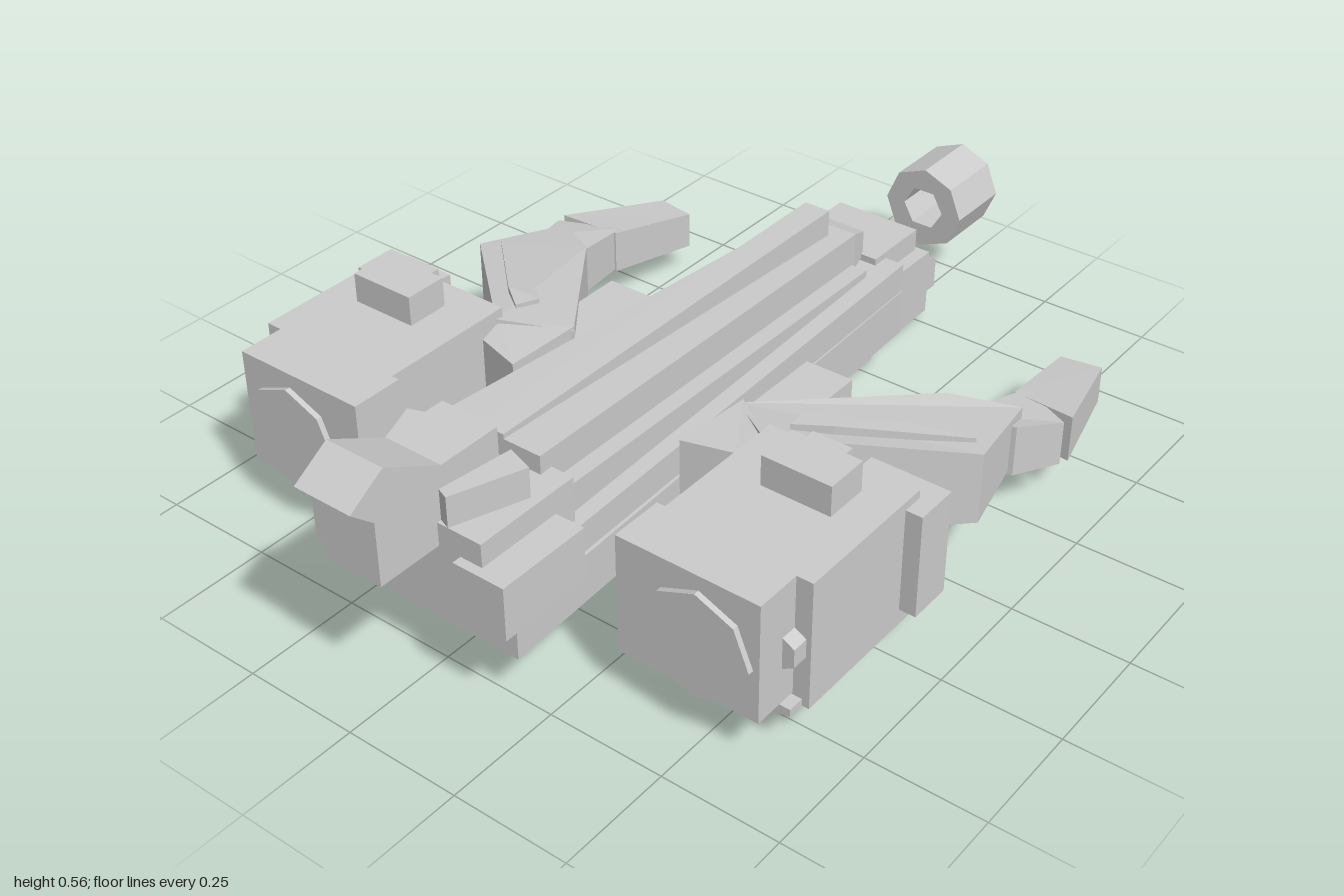
import * as THREE from 'three';

export function createModel() {
  const root = new THREE.Group();
  const mat = new THREE.MeshStandardMaterial({ color: 0xcccccc, flatShading: true });

  function add(name, geo, parent = root) {
    const mesh = new THREE.Mesh(geo, mat);
    mesh.name = name;
    parent.add(mesh);
    return mesh;
  }

  // Box given by its extents on each axis
  function box(name, x0, x1, y0, y1, z0, z1, parent) {
    const g = new THREE.BoxGeometry(Math.abs(x1 - x0), y1 - y0, z1 - z0);
    g.translate((x0 + x1) / 2, (y0 + y1) / 2, (z0 + z1) / 2);
    return add(name, g, parent);
  }

  // Upright convex prism; each corner is [x, z, bottom y, top y]
  function prism(name, corners, parent, s = 1) {
    let p = corners.map(([x, z, b, t]) => [x * s, z, b, t]);
    const area = p.reduce((a, c, i) => {
      const n = p[(i + 1) % p.length];
      return a + c[0] * n[1] - n[0] * c[1];
    }, 0);
    if (area > 0) p = p.reverse();
    const pos = [];
    const bot = (c) => [c[0], c[2], c[1]];
    const top = (c) => [c[0], c[3], c[1]];
    p.forEach((c, i) => {
      const n = p[(i + 1) % p.length];
      pos.push(...bot(c), ...bot(n), ...top(n), ...bot(c), ...top(n), ...top(c));
      if (i > 0 && i < p.length - 1) {
        pos.push(...top(p[0]), ...top(c), ...top(n));
        pos.push(...bot(p[0]), ...bot(n), ...bot(c));
      }
    });
    const g = new THREE.BufferGeometry();
    g.setAttribute('position', new THREE.Float32BufferAttribute(pos, 3));
    g.computeVertexNormals();
    return add(name, g, parent);
  }

  // Symmetric beam tapering from front to back
  function beam(name, front, back) {
    const [wf, zf, bf, tf] = front, [wb, zb, bb, tb] = back;
    return prism(name, [[-wf, zf, bf, tf], [wf, zf, bf, tf], [wb, zb, bb, tb], [-wb, zb, bb, tb]]);
  }

  // Central hull, from the keel up
  box('keel', -0.065, 0.065, 0, 0.1, -0.55, 0.66);
  beam('lowerPlate', [0.145, 0.66, 0.07, 0.13], [0.1, -0.55, 0.07, 0.13]);
  beam('hull', [0.198, 0.77, 0.115, 0.22], [0.147, -0.53, 0.115, 0.22]);
  beam('upperHull', [0.185, 0.64, 0.21, 0.285], [0.145, -0.53, 0.21, 0.285]);
  beam('deck', [0.15, 0.6, 0.28, 0.35], [0.11, -0.44, 0.28, 0.3]);
  beam('spine', [0.115, 0.6, 0.3, 0.42], [0.072, -0.45, 0.28, 0.37]);
  beam('spineTail', [0.072, -0.45, 0.285, 0.37], [0.06, -0.5, 0.29, 0.35]);
  box('spineRidge', -0.03, 0.03, 0.36, 0.43, -0.41, 0.6);

  // Forward block and raised nose
  box('bowCore', -0.165, 0.165, 0.215, 0.38, 0.57, 0.81);
  const profile = [[1.0, 0.51], [0.92, 0.56], [0.79, 0.49], [0.65, 0.49], [0.65, 0.33], [0.95, 0.33], [0.95, 0.465]];
  const nose = new THREE.ExtrudeGeometry(
    new THREE.Shape(profile.map(([z, y]) => new THREE.Vector2(z, y))), { depth: 0.13, bevelEnabled: false });
  nose.rotateY(-Math.PI / 2);
  nose.translate(0.065, 0, 0);
  add('nose', nose);

  // Stern blocks, exhaust and floating ring
  box('sternBlock', -0.13, 0.13, 0.115, 0.25, -0.66, -0.5);
  box('sternCap', -0.1, 0.1, 0.24, 0.3, -0.65, -0.49);
  box('sternFoot', -0.065, 0.065, 0.02, 0.12, -0.77, -0.58);
  beam('sternWedge', [0.075, -0.62, 0.11, 0.24], [0.04, -0.75, 0.11, 0.13]);
  const exhaust = new THREE.CylinderGeometry(0.035, 0.075, 0.08, 8);
  exhaust.rotateX(-Math.PI / 2);
  exhaust.translate(0, 0.19, -0.68);
  add('exhaust', exhaust);

  const polygon = (r, n) => Array.from({ length: n }, (_, i) =>
    new THREE.Vector2(r * Math.cos(i * 2 * Math.PI / n), r * Math.sin(i * 2 * Math.PI / n)));
  const ringShape = new THREE.Shape(polygon(0.097, 8));
  ringShape.holes.push(new THREE.Path(polygon(0.05, 6)));
  const ring = new THREE.ExtrudeGeometry(ringShape, { depth: 0.16, bevelEnabled: false });
  ring.translate(0, 0.235, -1);
  add('sternRing', ring);

  for (const s of [1, -1]) {
    const side = s > 0 ? 'left' : 'right';

    // Bow cheeks, slanted panels and stern fins
    box(side + 'BowCheek', s * 0.115, s * 0.23, 0.215, 0.33, 0.62, 0.83);
    prism(side + 'BowPanel', [[0.065, 0.8, 0.37, 0.445], [0.09, 0.81, 0.37, 0.445],
      [0.145, 0.66, 0.37, 0.445], [0.085, 0.64, 0.37, 0.445]], root, s);
    prism(side + 'SternFin', [[0.06, -0.64, 0.15, 0.24], [0.13, -0.65, 0.15, 0.24],
      [0.13, -0.69, 0.15, 0.22], [0.065, -0.66, 0.15, 0.22]], root, s);

    // Engine pod
    const pod = new THREE.Group();
    pod.name = side + 'Pod';
    root.add(pod);
    box('podBody', s * 0.33, s * 0.655, 0.085, 0.363, 0.21, 0.535, pod);
    box('podFront', s * 0.312, s * 0.62, 0.105, 0.363, 0.52, 0.635, pod);
    box('podRearBlock', s * 0.52, s * 0.69, 0.12, 0.345, 0.16, 0.255, pod);
    const intake = new THREE.CylinderGeometry(0.115, 0.115, 0.1, 8);
    intake.rotateX(Math.PI / 2);
    intake.translate(s * 0.492, 0.217, 0.597);
    add('intake', intake, pod);
    const knob = new THREE.CylinderGeometry(0.04, 0.04, 0.06, 6);
    knob.rotateX(Math.PI / 2);
    knob.translate(s * 0.61, 0.217, 0.54);
    add('sideKnob', knob, pod);
    prism('podBelly', [[0.5, 0.57, 0.065, 0.1], [0.57, 0.57, 0.065, 0.1], [0.64, 0.57, 0.085, 0.1],
      [0.64, 0.22, 0.085, 0.1], [0.57, 0.22, 0.065, 0.1], [0.5, 0.22, 0.065, 0.1]], pod, s);
    box('hatch', s * 0.425, s * 0.575, 0.36, 0.428, 0.275, 0.37, pod);
    box('hatchTab', s * 0.455, s * 0.54, 0.36, 0.428, 0.255, 0.275, pod);

    // Arm: shoulder block, upper arm, wrist and claw, dropping toward the back
    const arm = new THREE.Group();
    arm.name = side + 'Arm';
    root.add(arm);
    box('shoulder', s * 0.197, s * 0.305, 0.105, 0.285, -0.1, 0.27, arm);
    prism('shoulderCap', [[0.21, 0.13, 0.2, 0.325], [0.205, 0.32, 0.2, 0.335],
      [0.31, 0.29, 0.2, 0.335], [0.33, 0.22, 0.2, 0.335]], arm, s);
    prism('upperArm', [[0.205, 0.14, 0.11, 0.32], [0.33, 0.23, 0.11, 0.345],
      [0.635, -0.05, 0.12, 0.28], [0.587, -0.28, 0.13, 0.24], [0.46, -0.2, 0.12, 0.265]], arm, s);
    prism('armPlate', [[0.34, 0.16, 0.25, 0.34], [0.405, 0.11, 0.25, 0.335],
      [0.6, -0.08, 0.24, 0.285], [0.49, -0.03, 0.25, 0.3], [0.33, 0.1, 0.25, 0.33]], arm, s);
    prism('wrist', [[0.49, -0.19, 0.12, 0.235], [0.61, -0.22, 0.12, 0.235],
      [0.655, -0.33, 0.105, 0.205], [0.53, -0.4, 0.1, 0.195]], arm, s);
    prism('claw', [[0.52, -0.37, 0.1, 0.2], [0.66, -0.355, 0.1, 0.205],
      [0.585, -0.625, 0.065, 0.15], [0.495, -0.61, 0.065, 0.15]], arm, s);
  }
  return root;
}
